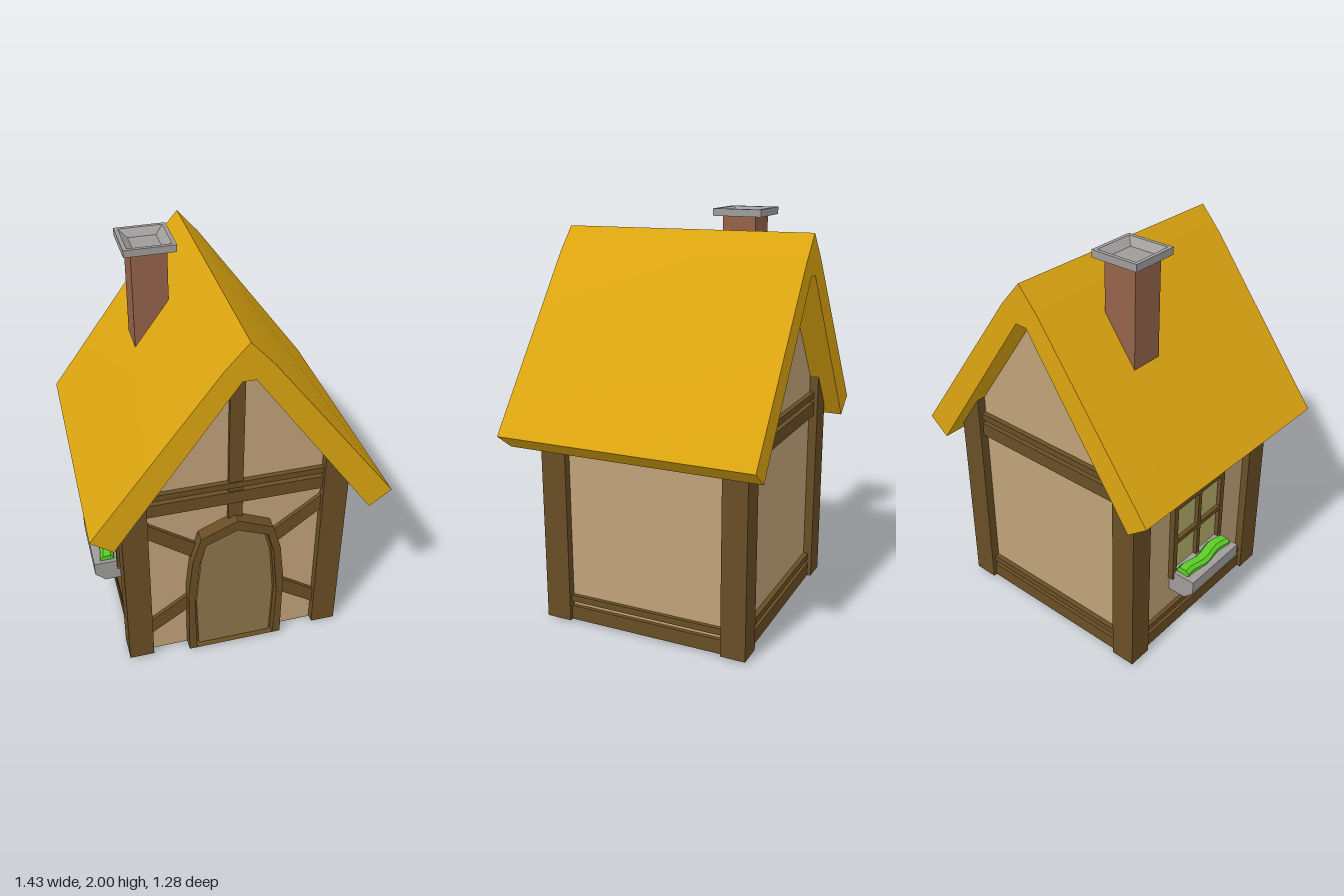
import * as THREE from 'three';
import { toCreasedNormals } from 'three/addons/utils/BufferGeometryUtils.js';

export function createModel() {
  const house = new THREE.Group();
  house.name = 'cottage';

  const mat = (name, color) => {
    const m = new THREE.MeshStandardMaterial({ color });
    m.name = name;
    return m;
  };
  const plaster = mat('plaster', 0xc0a279);
  const wood = mat('dark wood', 0x694e25);
  const doorWood = mat('door wood', 0x8d754b);
  const thatch = mat('thatch', 0xdca510);
  const brick = mat('brick', 0x94634a);
  const stone = mat('stone', 0xa09c9c);
  const glass = mat('glass', 0xb4ae6a);
  const leaf = mat('leaf', 0x5ccc28);

  const add = (name, geo, material) => {
    const mesh = new THREE.Mesh(geo, material);
    mesh.name = name;
    house.add(mesh);
    return mesh;
  };
  // Box given by its lower and upper corners
  const block = (name, material, x0, x1, y0, y1, z0, z1) => {
    const geo = new THREE.BoxGeometry(x1 - x0, y1 - y0, z1 - z0);
    geo.translate((x0 + x1) / 2, (y0 + y1) / 2, (z0 + z1) / 2);
    return add(name, geo, material);
  };
  const shapeOf = (pts) => new THREE.Shape(pts.map(([x, y]) => new THREE.Vector2(x, y)));
  const extrude = (shape, z0, z1, steps = 1) =>
    new THREE.ExtrudeGeometry(shape, { depth: z1 - z0, bevelEnabled: false, steps }).translate(0, 0, z0);
  // Right half of an outline, from bottom to the centre line, completed by mirroring
  const mirrored = (half) => [
    ...half,
    ...half.filter(([x]) => x > 0).reverse().map(([x, y]) => [-x, y]),
  ];

  // Walls with gables
  add('walls', extrude(shapeOf(mirrored([[0.515, 0], [0.515, 1.09], [0, 1.79]])), -0.51, 0.465), plaster);

  // Corner posts
  for (const s of [-1, 1]) {
    const [x0, x1] = s > 0 ? [0.43, 0.555] : [-0.555, -0.43];
    block('frontPost', wood, x0, x1, 0.01, 1.15, 0.38, 0.51);
    block('backPost', wood, x0, x1, 0.01, 1.15, -0.555, -0.43);
  }

  // Horizontal beams: a thick and a thin rail in pairs
  const sideRails = [[0.01, 0.083], [0.107, 0.14], [0.89, 0.925], [0.95, 1.02]];
  for (const [y0, y1] of sideRails) {
    block('leftSideBeam', wood, 0.5, 0.535, y0, y1, -0.43, 0.38);
    block('rightSideBeam', wood, -0.535, -0.5, y0, y1, -0.43, 0.38);
  }
  const gableRails = [[0.93, 1.0], [1.022, 1.055]];
  for (const [y0, y1] of gableRails) block('frontBeam', wood, -0.43, 0.43, y0, y1, 0.45, 0.49);
  for (const [y0, y1] of [...sideRails.slice(0, 2), ...gableRails]) {
    block('backBeam', wood, -0.43, 0.43, y0, y1, -0.535, -0.5);
  }
  block('gablePost', wood, -0.035, 0.035, 0.8, 1.75, 0.45, 0.485);

  // Diagonal braces beside the door
  for (const s of [-1, 1]) {
    const braces = [
      [[0.43, 0.79], [0.43, 0.88], [0.17, 0.69], [0.17, 0.59]],
      [[0.43, 0.14], [0.43, 0.23], [0.2, 0.393], [0.2, 0.297]],
    ];
    for (const b of braces) {
      add('brace', extrude(shapeOf(b.map(([x, y]) => [s * x, y])), 0.45, 0.485), wood);
    }
  }

  // Door and its arched frame
  const opening = mirrored([[0.205, 0.01], [0.213, 0.33], [0.187, 0.61], [0.155, 0.725], [0, 0.79]]);
  const arch = shapeOf(mirrored([[0.245, 0.01], [0.245, 0.42], [0.222, 0.63], [0.18, 0.77], [0, 0.85]]));
  arch.holes.push(new THREE.Path(opening.map(([x, y]) => new THREE.Vector2(x, y))));
  add('doorFrame', extrude(arch, 0.45, 0.53), wood);
  add('doorBacking', extrude(shapeOf(opening), 0.45, 0.485), wood);
  const leafOutline = mirrored([[0.19, 0.015], [0.2, 0.33], [0.174, 0.605], [0.145, 0.713], [0, 0.774]]);
  add('door', extrude(shapeOf(leafOutline), 0.47, 0.505), doorWood);

  // Thatched roof, slightly narrower and higher at the back
  const roofOutline = [
    [0.61, 0.905], [0.715, 0.985], [0.11, 1.78], [0, 1.903],
    [-0.11, 1.78], [-0.715, 0.985], [-0.61, 0.905], [-0.03, 1.72], [0.03, 1.72],
  ];
  const roof = extrude(shapeOf(roofOutline), -0.64, 0.645);
  const p = roof.attributes.position;
  for (let i = 0; i < p.count; i++) {
    if (p.getZ(i) > 0) continue;
    const x = p.getX(i);
    p.setX(i, x * 0.972);
    if (p.getY(i) > 1.75) p.setY(i, p.getY(i) + 0.012);
  }
  add('roof', toCreasedNormals(roof, 0.3), thatch);

  // Chimney with a hollow cap
  block('chimney', brick, -0.335, -0.165, 1.3, 1.968, -0.29, -0.12);
  const capProfile = [[0, 1.965], [0.123, 1.965], [0.123, 2], [0.105, 2], [0.067, 1.97], [0, 1.97]];
  const cap = new THREE.LatheGeometry(
    capProfile.map(([r, y]) => new THREE.Vector2(r * Math.SQRT2, y)), 4).toNonIndexed();
  cap.rotateY(Math.PI / 4);
  cap.computeVertexNormals();
  cap.translate(-0.25, 0, -0.207);
  add('chimneyCap', cap, stone);

  // Window on the right wall: frame with four openings, and glass behind
  const rect = (z0, z1, y0, y1) => [[z0, y0], [z1, y0], [z1, y1], [z0, y1]];
  const frame = shapeOf(rect(-0.23, 0.18, 0.33, 0.78));
  for (const [z0, z1] of [[-0.2, -0.037], [-0.013, 0.15]]) {
    for (const [y0, y1] of [[0.36, 0.543], [0.567, 0.75]]) {
      frame.holes.push(new THREE.Path(rect(z0, z1, y0, y1).map(([z, y]) => new THREE.Vector2(z, y))));
    }
  }
  add('windowFrame', extrude(frame, 0.5, 0.543).rotateY(-Math.PI / 2), wood);
  block('windowGlass', glass, -0.522, -0.514, 0.34, 0.77, -0.22, 0.17);

  // Planter and its wavy greenery
  const box = [[-0.51, 0.25], [-0.51, 0.37], [-0.66, 0.37], [-0.66, 0.3], [-0.61, 0.25]];
  add('planter', extrude(shapeOf(box), -0.22, 0.16), stone);
  const tuft = [[-0.55, 0.36], [-0.55, 0.382], [-0.565, 0.4], [-0.605, 0.4], [-0.622, 0.385], [-0.622, 0.36]];
  const plants = extrude(shapeOf(tuft), -0.2, 0.14, 8);
  const q = plants.attributes.position;
  for (let i = 0; i < q.count; i++) {
    const wave = Math.sin(q.getZ(i) * 28);
    q.setX(i, q.getX(i) + wave * 0.007);
    if (q.getY(i) > 0.37) q.setY(i, q.getY(i) + wave * 0.004);
  }
  plants.computeVertexNormals();
  add('plants', plants, leaf);

  return house;
}
